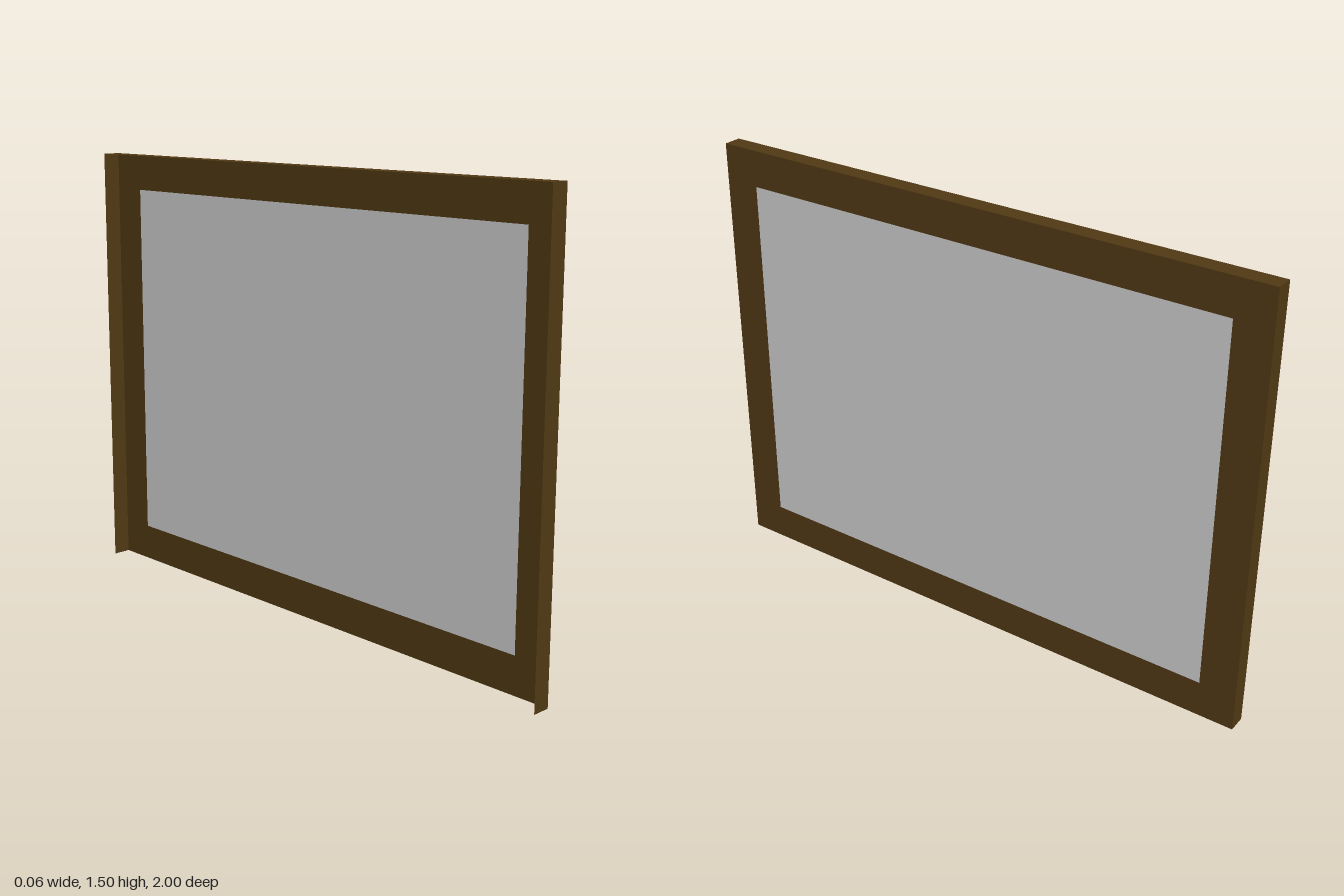
import * as THREE from 'three';

const W = 2, H = 1.5, D = 0.062, BORDER = 0.125;

export function createModel() {
  const group = new THREE.Group();
  const wood = new THREE.MeshStandardMaterial({ color: 0x4f3813, side: THREE.DoubleSide });
  const grey = new THREE.MeshStandardMaterial({ color: 0xcccccc, side: THREE.DoubleSide });

  const add = (name, geometry, material, x, y, z) => {
    const mesh = new THREE.Mesh(geometry, material);
    mesh.name = name;
    mesh.position.set(x, y, z);
    group.add(mesh);
    return mesh;
  };

  // Flat frame face with a rectangular opening, turned towards +x
  const rect = (target, w, h) => target
    .moveTo(-w / 2, -h / 2).lineTo(w / 2, -h / 2)
    .lineTo(w / 2, h / 2).lineTo(-w / 2, h / 2).closePath();
  const face = rect(new THREE.Shape(), W, H);
  face.holes.push(rect(new THREE.Path(), W - 2 * BORDER, H - 2 * BORDER));
  add('frameFace', new THREE.ShapeGeometry(face), wood, D / 2, H / 2, 0).rotation.y = Math.PI / 2;

  // Picture panel flush with the frame face
  add('panel', new THREE.PlaneGeometry(W - 2 * BORDER, H - 2 * BORDER), grey, D / 2, H / 2, 0)
    .rotation.y = Math.PI / 2;

  // Thin side walls and top wall; the back and the bottom stay open
  for (const side of [1, -1]) {
    const wall = add(side > 0 ? 'frontEndWall' : 'backEndWall',
      new THREE.PlaneGeometry(D, H), wood, 0, H / 2, side * W / 2);
    if (side < 0) wall.rotation.y = Math.PI;
  }
  add('topWall', new THREE.PlaneGeometry(D, W), wood, 0, H, 0).rotation.x = -Math.PI / 2;

  return group;
}
